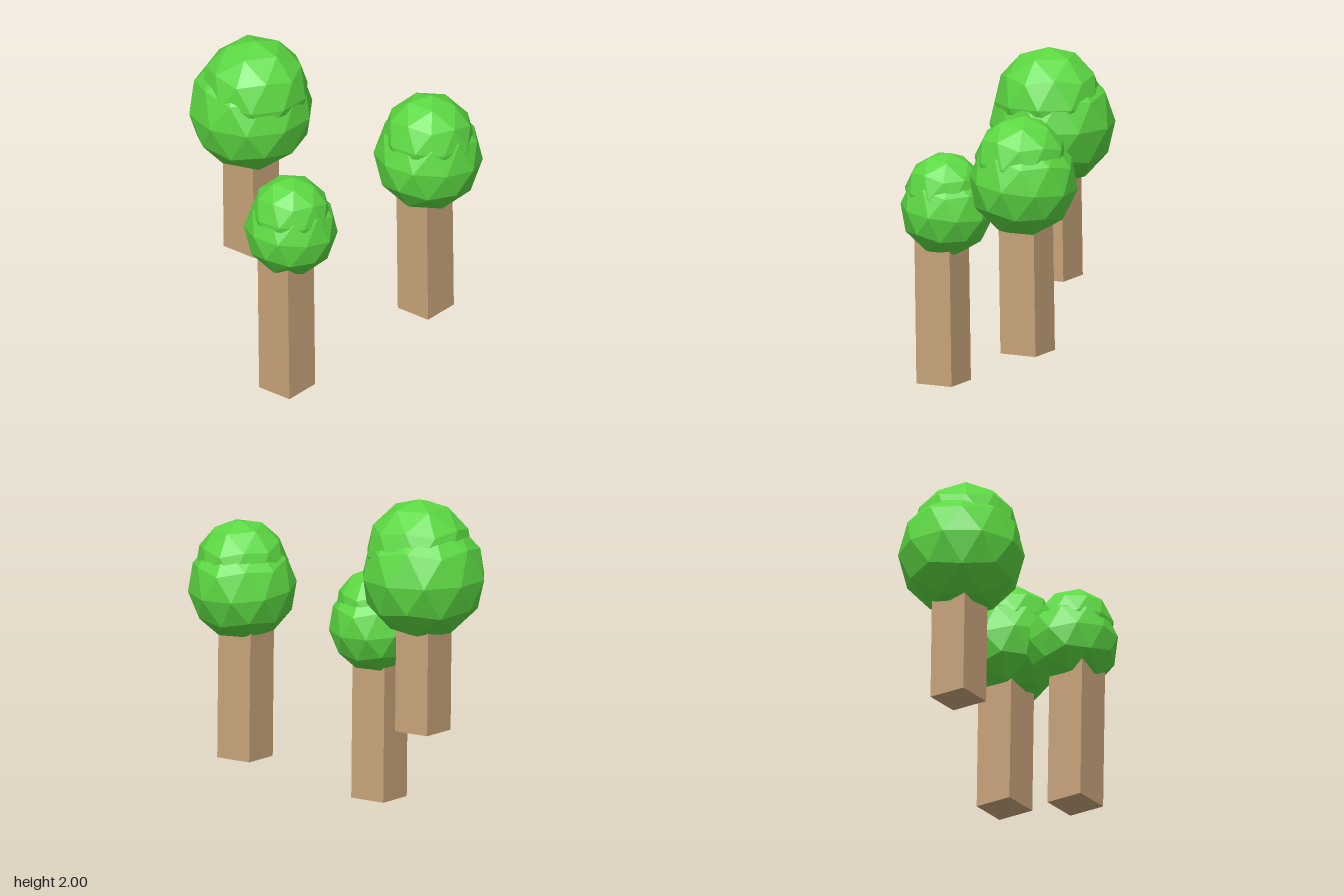
import * as THREE from 'three';

const bark = new THREE.MeshStandardMaterial({ color: 0xc8a47a, flatShading: true });
const leaf = new THREE.MeshStandardMaterial({ color: 0x5cd842, flatShading: true });

// Angle that stands the icosahedron on one of its corners
const POLE = -Math.atan(2 / (1 + Math.sqrt(5)));

// Faceted ball of leaves
function foliage(name, [x, y, z], radius, yaw, tilt) {
  const mesh = new THREE.Mesh(new THREE.IcosahedronGeometry(radius, 1), leaf);
  mesh.name = name;
  mesh.rotation.set(tilt, yaw, POLE);
  mesh.position.set(x, y, z);
  return mesh;
}

// Square trunk, leaning slightly forward, ending inside the lower foliage
function trunk([x, y, z], top) {
  const height = top - y;
  const geometry = new THREE.BoxGeometry(0.238, height, 0.243);
  geometry.translate(0, height / 2, 0);
  const mesh = new THREE.Mesh(geometry, bark);
  mesh.name = 'trunk';
  mesh.rotation.x = 0.016;
  mesh.position.set(x, y, z);
  return mesh;
}

const TREES = [
  {
    name: 'leftBackTree', base: [-0.522, 0.578, 0.012], yaw: 0, tilt: 0,
    lower: [-0.515, 1.53, 0.03], lowerRadius: 0.383,
    upper: [-0.48, 1.67, 0.035], upperRadius: 0.33,
  },
  {
    name: 'frontTree', base: [0.106, 0.002, 0.432], yaw: 0.41, tilt: -0.12,
    lower: [0.112, 1.07, 0.405], lowerRadius: 0.284,
    upper: [0.118, 1.178, 0.415], upperRadius: 0.245,
  },
  {
    name: 'rightBackTree', base: [0.516, 0.35, -0.383], yaw: 0.41, tilt: -0.12,
    lower: [0.545, 1.4, -0.37], lowerRadius: 0.331,
    upper: [0.555, 1.528, -0.36], upperRadius: 0.284,
  },
];

export function createModel() {
  const model = new THREE.Group();
  model.name = 'trees';
  for (const t of TREES) {
    const tree = new THREE.Group();
    tree.name = t.name;
    tree.add(
      trunk(t.base, t.lower[1]),
      foliage('lowerFoliage', t.lower, t.lowerRadius, t.yaw, t.tilt),
      foliage('upperFoliage', t.upper, t.upperRadius, t.yaw, t.tilt),
    );
    model.add(tree);
  }
  return model;
}
